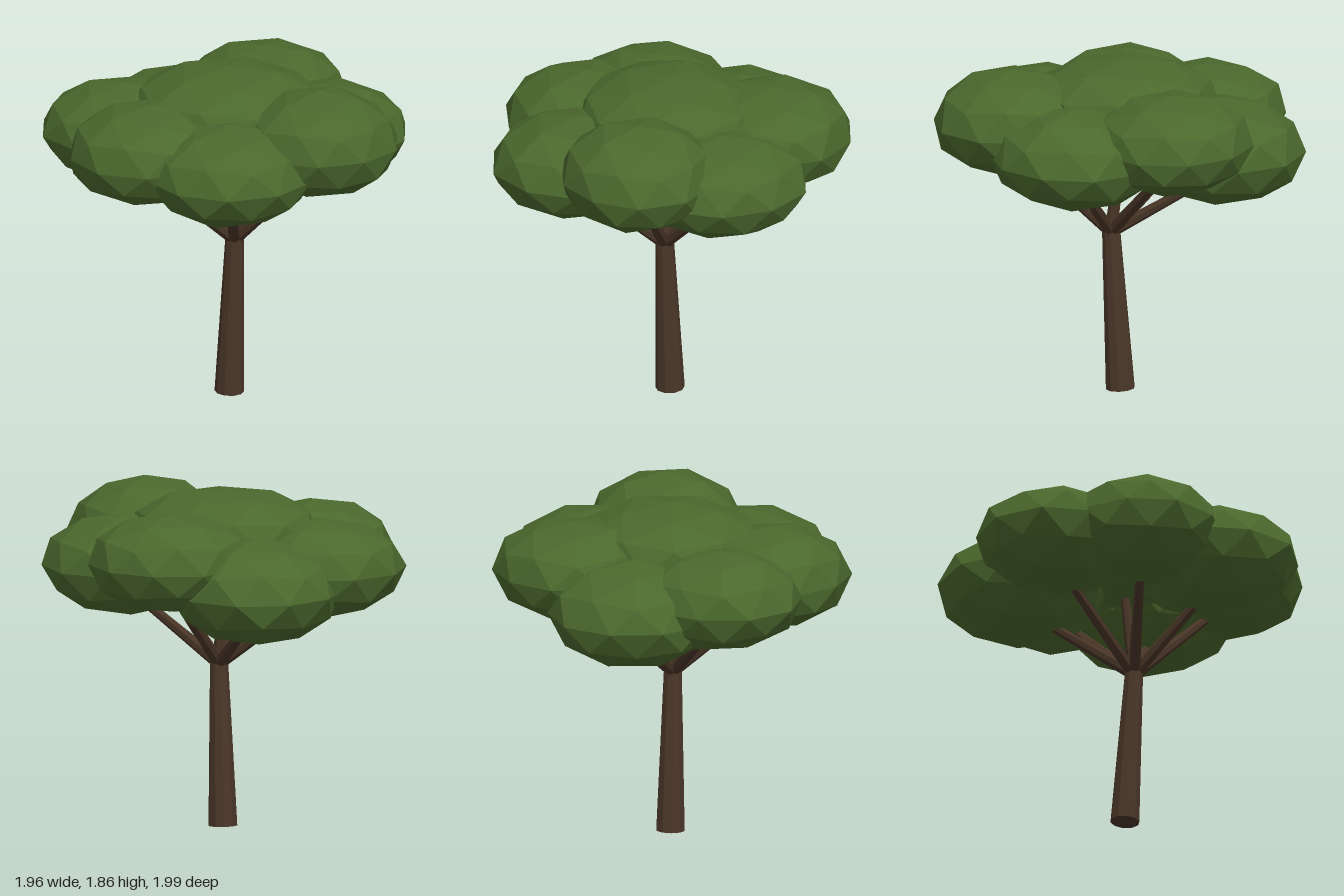
import * as THREE from 'three';

export function createModel() {
  const tree = new THREE.Group();
  tree.name = 'tree';

  const bark = new THREE.MeshStandardMaterial({ color: 0x4a3628, flatShading: true });
  bark.name = 'bark';
  const foliage = new THREE.MeshStandardMaterial({ color: 0x4b682d, flatShading: true });
  foliage.name = 'foliage';

  // Tapered round limb between two points
  function limb(name, from, to, r0, r1, sides) {
    const dir = to.clone().sub(from);
    const mesh = new THREE.Mesh(new THREE.CylinderGeometry(r1, r0, dir.length(), sides), bark);
    mesh.position.copy(from).addScaledVector(dir, 0.5);
    mesh.quaternion.setFromUnitVectors(new THREE.Vector3(0, 1, 0), dir.normalize());
    mesh.name = name;
    tree.add(mesh);
  }

  // Flattened faceted leaf clump with a corner at each pole, slightly uneven
  const poleTilt = -Math.atan((1 + Math.sqrt(5)) / 2);
  function clump(name, [x, y, z], radius, height, seed) {
    const geo = new THREE.IcosahedronGeometry(1, 1);
    geo.rotateX(poleTilt).rotateY(Math.PI);
    const pos = geo.attributes.position;
    const v = new THREE.Vector3();
    for (let i = 0; i < pos.count; i++) {
      v.fromBufferAttribute(pos, i);
      const bump = 1 + 0.02 * Math.sin(v.x * 5.1 + v.y * 7.3 + v.z * 6.2 + seed * 2.4);
      pos.setXYZ(i, v.x * radius * bump, v.y * height * bump, v.z * radius * bump);
    }
    geo.computeVertexNormals();
    const mesh = new THREE.Mesh(geo, foliage);
    mesh.position.set(x, y, z);
    mesh.name = name;
    tree.add(mesh);
  }

  // Leaning trunk
  const fork = new THREE.Vector3(-0.015, 0.91, 0.02);
  limb('trunk', new THREE.Vector3(0, 0.005, -0.028), fork, 0.08, 0.05, 10);

  // Clumps, each carried by a branch: centre, radius, half height
  const clumps = [
    ['front', [0.01, 1.56, 0.58], 0.43, 0.29],
    ['frontLeft', [0.4, 1.455, 0.31], 0.47, 0.275],
    ['left', [0.53, 1.54, -0.19], 0.45, 0.27],
    ['backLeft', [0.22, 1.39, -0.53], 0.47, 0.29],
    ['backRight', [-0.25, 1.47, -0.55], 0.455, 0.27],
    ['right', [-0.53, 1.49, -0.18], 0.445, 0.27],
    ['frontRight', [-0.43, 1.445, 0.3], 0.465, 0.275],
    ['crown', [0, 1.6, -0.04], 0.54, 0.27],
  ];
  const start = fork.clone().setY(0.89);
  clumps.forEach(([name, centre, radius, height], i) => {
    clump(name + 'Foliage', centre, radius, height, i);
    const tip = new THREE.Vector3(centre[0], centre[1] - 0.13, centre[2]);
    limb(name + 'Branch', start, tip, 0.035, 0.022, 7);
  });

  return tree;
}
